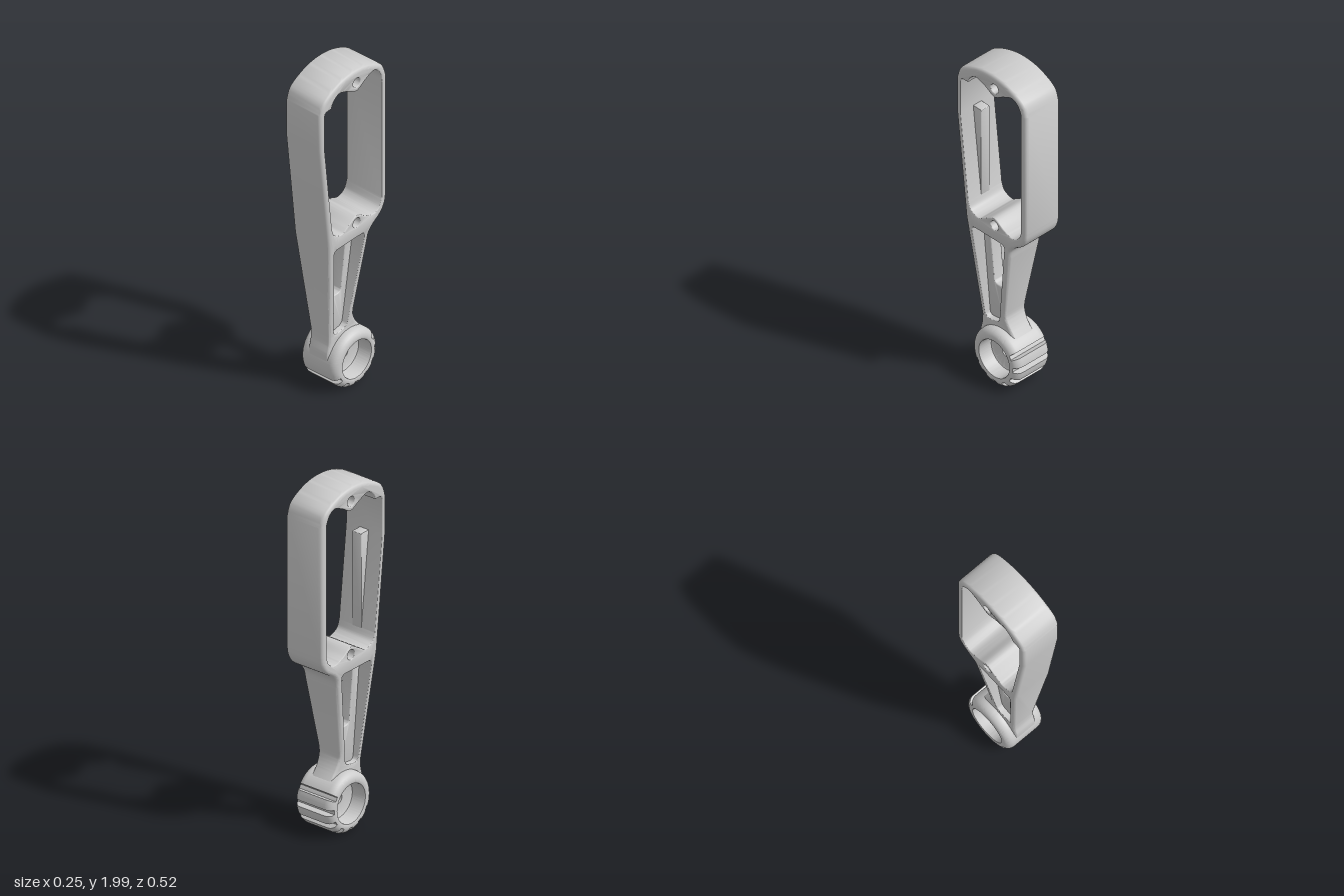
import * as THREE from 'three';
import { toCreasedNormals } from 'three/addons/utils/BufferGeometryUtils.js';

const V2 = (p) => new THREE.Vector2(p[0], p[1]);
const material = new THREE.MeshStandardMaterial({ color: 0xcccccc });
const KNOB = { z: -0.022, y: 0.175 };

// Shape helpers; all outlines are drawn as (z, y)
const spline = (shape, pts) => shape.splineThru(pts.map(V2));

function roundPoly(corners, r) {
  const shape = new THREE.Shape();
  const c = corners.map(V2), n = c.length;
  c.forEach((p, i) => {
    const toward = (q) => p.clone().add(q.clone().sub(p).setLength(r));
    const a = toward(c[(i + n - 1) % n]), b = toward(c[(i + 1) % n]);
    if (i === 0) shape.moveTo(a.x, a.y); else shape.lineTo(a.x, a.y);
    shape.quadraticCurveTo(p.x, p.y, b.x, b.y);
  });
  shape.closePath();
  return shape;
}

function circle(z, y, r) {
  return new THREE.Shape().absarc(z, y, r, 0, Math.PI * 2, false);
}

function loopPoints(shape, clockwise) {
  const pts = shape.getPoints(6).filter((p, i, all) => p.distanceTo(all[(i + 1) % all.length]) > 1e-5);
  return THREE.ShapeUtils.isClockWise(pts) === clockwise ? pts : pts.reverse();
}

// Moves a loop towards its left side by distance d
function inset(pts, d) {
  const n = pts.length;
  return pts.map((p, i) => {
    const a = p.clone().sub(pts[(i + n - 1) % n]).normalize();
    const b = pts[(i + 1) % n].clone().sub(p).normalize();
    const m = new THREE.Vector2(-a.y - b.y, a.x + b.x).normalize();
    const k = Math.max(0.6, -m.x * b.y + m.y * b.x);
    return p.clone().addScaledVector(m, d / k);
  });
}

// Plate across x with separately rounded outer and hole edges; returns triangles
function plate(outer, holes, half, rOuter, rHole) {
  const tris = [];
  const at = (p, w) => new THREE.Vector3(-w, p.y, p.x);
  const loops = [loopPoints(outer, false), ...holes.map((h) => loopPoints(h, true))];
  const lids = loops.map((pts, li) => {
    const r = li ? rHole : rOuter;
    const rows = [];
    for (const s of [-1, 1]) {
      for (let j = 0; j <= 4; j++) {
        const a = (s < 0 ? j - 4 : j) * Math.PI / 8;
        rows.push([inset(pts, r * (1 - Math.cos(a))), s * (half - r) + r * Math.sin(a)]);
      }
    }
    for (let k = 0; k + 1 < rows.length; k++) {
      const [p, w] = rows[k], [q, v] = rows[k + 1];
      p.forEach((_, i) => {
        const i2 = (i + 1) % p.length;
        tris.push([at(p[i], w), at(p[i2], w), at(q[i2], v)], [at(p[i], w), at(q[i2], v), at(q[i], v)]);
      });
    }
    return rows[rows.length - 1][0];
  });
  const flat = lids.flat();
  for (const [a, b, c] of THREE.ShapeUtils.triangulateShape(lids[0], lids.slice(1))) {
    tris.push([at(flat[a], half), at(flat[b], half), at(flat[c], half)]);
    tris.push([at(flat[c], -half), at(flat[b], -half), at(flat[a], -half)]);
  }
  return tris;
}

// Splits triangles along a level so that the taper bends cleanly there
function sliceY(tris, level) {
  const out = [];
  for (const t of tris) {
    for (const s of [1, -1]) {
      const poly = [];
      t.forEach((p, i) => {
        const q = t[(i + 1) % 3];
        const dp = s * (p.y - level), dq = s * (q.y - level);
        if (dp >= 0) poly.push(p);
        if (dp * dq < 0) poly.push(p.clone().lerp(q, dp / (dp - dq)));
      });
      for (let i = 2; i < poly.length; i++) out.push([poly[0], poly[i - 1], poly[i]]);
    }
  }
  return out;
}

function meshFrom(tris, name) {
  const geo = new THREE.BufferGeometry().setFromPoints(tris.flat());
  return new THREE.Mesh(toCreasedNormals(geo, 0.6), material);
}

function named(mesh, name) {
  mesh.name = name;
  return mesh;
}

function frameOutline() {
  const s = new THREE.Shape();
  s.moveTo(0.262, 1.63);
  s.lineTo(0.262, 1.85);
  spline(s, [[0.228, 1.925], [0.117, 1.982], [0, 2], [-0.117, 1.982], [-0.225, 1.925], [-0.258, 1.85]]);
  s.lineTo(-0.258, 1.1);
  spline(s, [[-0.25, 1.05], [-0.22, 1.0], [-0.16, 0.955], [-0.13, 0.915], [-0.12, 0.86]]);
  s.lineTo(-0.055, 0.47);
  spline(s, [[-0.055, 0.42], [-0.08, 0.365], [-0.125, 0.305]]);
  s.absarc(KNOB.z, KNOB.y, 0.115, 2.2, 0.3, true);
  s.lineTo(0.143, 0.21);
  spline(s, [[0.14, 0.26], [0.129, 0.31], [0.127, 0.36]]);
  s.lineTo(0.2, 1.05);
  s.closePath();
  return s;
}

function windowOutline() {
  const s = new THREE.Shape();
  s.moveTo(0.228, 1.63);
  s.lineTo(0.228, 1.835);
  spline(s, [[0.22, 1.853], [0.2, 1.857]]);
  s.lineTo(0.175, 1.857);
  spline(s, [[0.16, 1.89], [0.117, 1.92], [0.053, 1.902], [-0.022, 1.867], [-0.09, 1.902],
    [-0.15, 1.925], [-0.19, 1.905], [-0.215, 1.86], [-0.218, 1.82]]);
  s.lineTo(-0.218, 1.095);
  spline(s, [[-0.197, 1.045], [-0.15, 1.023], [-0.09, 1.045], [-0.022, 1.082], [0.053, 1.045],
    [0.095, 1.023], [0.15, 1.045], [0.17, 1.09]]);
  s.closePath();
  return s;
}

// Round end with a recess on each side, a centre hole and notches on the rim
function knobGeometry() {
  const half = [[0.17, 0], [0.17, 0.08]];
  for (let i = 1; i <= 6; i++) {
    const a = i * Math.PI / 12;
    half.push([0.128 + 0.042 * Math.cos(a), 0.08 + 0.045 * Math.sin(a)]);
  }
  half.push([0.118, 0.125], [0.113, 0.123], [0.11, 0.118], [0.11, 0.05], [0.107, 0.04], [0.098, 0.035],
    [0.03, 0.035], [0.03, 0]);
  const mirrored = half.slice(0, -1).reverse().map(([r, h]) => [r, -h]);
  const geo = new THREE.LatheGeometry([...half, ...mirrored].map(V2), 240);
  geo.rotateZ(-Math.PI / 2);
  const p = geo.attributes.position;
  for (let i = 0; i < p.count; i++) {
    const y = p.getY(i), z = p.getZ(i), r = Math.hypot(y, z);
    const deg = Math.atan2(y, -z) * 180 / Math.PI;
    const notch = Math.round(deg / 30) * 30;
    if (r > 0.137 && notch >= -150 && notch <= 30 && Math.abs(deg - notch) < 4.9) {
      p.setY(i, y * 0.137 / r);
      p.setZ(i, z * 0.137 / r);
    }
  }
  geo.translate(0, KNOB.y, KNOB.z);
  return toCreasedNormals(geo, 0.6);
}

export function createModel() {
  const model = new THREE.Group();
  model.name = 'handle';

  // Frame and arm in one body, narrowing towards the round end
  const pocket = roundPoly([[0.15, 0.94], [-0.092, 0.94], [-0.003, 0.37], [0.095, 0.355]], 0.03);
  const holes = [windowOutline(), circle(-0.022, 1.92, 0.028), circle(-0.022, 1.035, 0.028), pocket];
  let body = plate(frameOutline(), holes, 0.123, 0.022, 0.007);
  for (const level of [0.98, 0.36]) body = sliceY(body, level);
  for (const p of new Set(body.flat())) {
    const t = THREE.MathUtils.clamp((p.y - 0.36) / 0.62, 0, 1);
    p.x *= THREE.MathUtils.lerp(0.069, 0.123, t) / 0.123;
  }
  model.add(named(meshFrom(body), 'frameAndArm'));

  // Thin web closing the arm pocket, with a through slot
  const web = roundPoly([[0.16, 0.95], [-0.102, 0.95], [-0.01, 0.355], [0.102, 0.345]], 0.03);
  const slot = roundPoly([[0.097, 0.893], [-0.035, 0.893], [0.004, 0.575], [0.066, 0.575]], 0.025);
  model.add(named(meshFrom(plate(web, [slot], 0.035, 0.002, 0.006)), 'armWeb'));

  // Wedge rib on the inside of the front wall
  const rib = roundPoly([[0.24, 1.63], [0.168, 1.63], [0.168, 1.08], [0.186, 1.08]], 0.008);
  model.add(named(meshFrom(plate(rib, [], 0.03, 0.003, 0)), 'innerRib'));

  model.add(named(new THREE.Mesh(knobGeometry(), material), 'notchedKnob'));
  return model;
}
